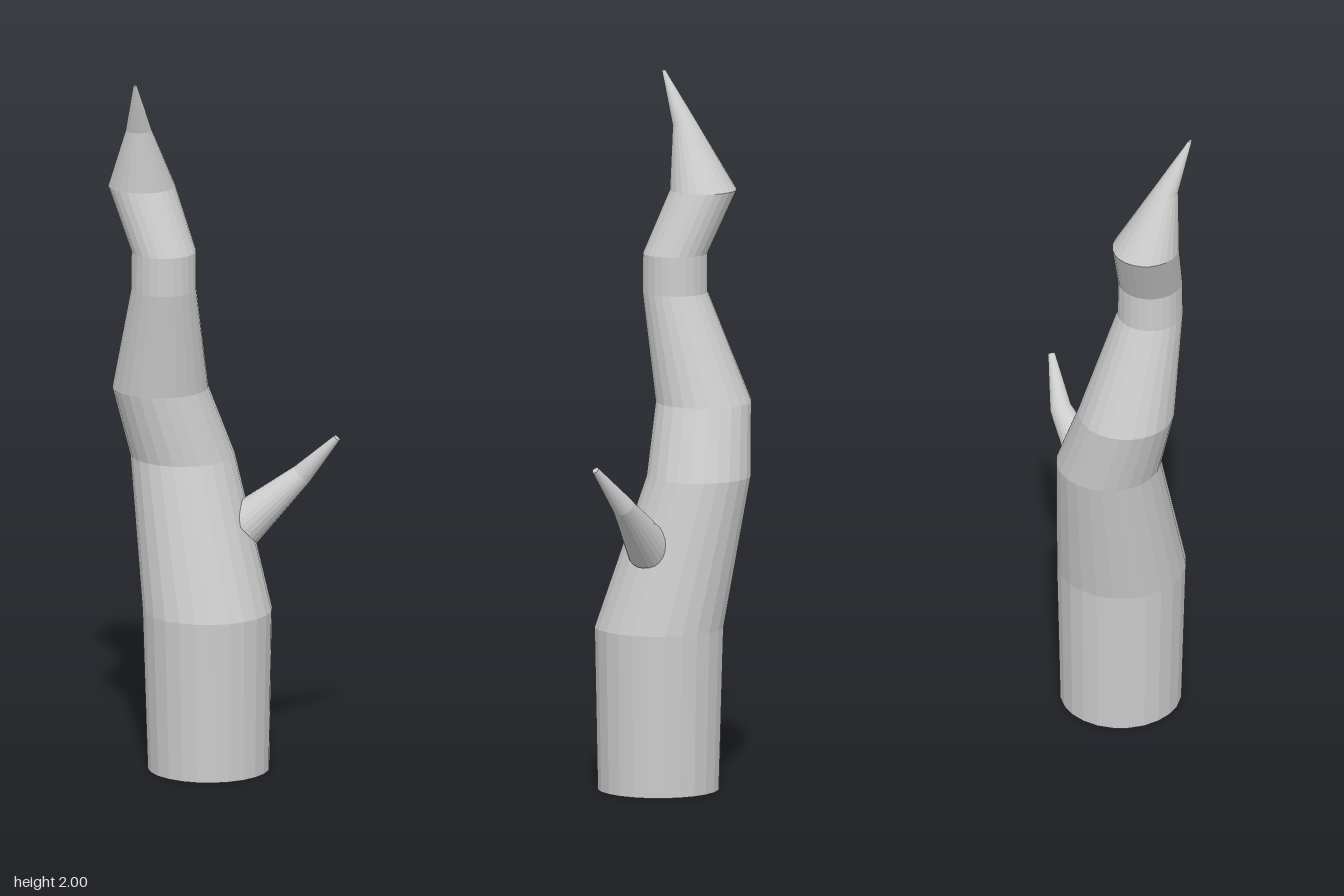
import * as THREE from 'three';

const SIDES = 24;

// Lofts a capped, faceted limb through circular rings [x, y, z, radius].
// normals: one axis direction per ring.
function limb(name, rings, normals, material) {
  const pos = [], idx = [];
  rings.forEach(([x, y, z, r], i) => {
    const q = new THREE.Quaternion().setFromUnitVectors(new THREE.Vector3(0, 1, 0), normals[i]);
    for (let s = 0; s < SIDES; s++) {
      const a = (s / SIDES) * Math.PI * 2;
      const p = new THREE.Vector3(Math.sin(a) * r, 0, Math.cos(a) * r).applyQuaternion(q);
      pos.push(p.x + x, p.y + y, p.z + z);
    }
  });
  for (let i = 0; i < rings.length - 1; i++) {
    for (let s = 0; s < SIDES; s++) {
      const a = i * SIDES + s, b = i * SIDES + (s + 1) % SIDES;
      idx.push(a, b, b + SIDES, a, b + SIDES, a + SIDES);
    }
  }
  // end caps
  const last = (rings.length - 1) * SIDES;
  for (let s = 1; s < SIDES - 1; s++) {
    idx.push(0, s + 1, s, last, last + s, last + s + 1);
  }
  const indexed = new THREE.BufferGeometry();
  indexed.setAttribute('position', new THREE.Float32BufferAttribute(pos, 3));
  indexed.setIndex(idx);
  const geometry = indexed.toNonIndexed();
  geometry.computeVertexNormals();
  const mesh = new THREE.Mesh(geometry, material);
  mesh.name = name;
  return mesh;
}

export function createModel() {
  const group = new THREE.Group();
  group.name = 'deadTree';
  const bark = new THREE.MeshStandardMaterial({ color: 0xcccccc });
  bark.name = 'pale grey bark';

  // crooked trunk, every ring level
  const trunk = [
    [-0.015, 0, 0, 0.171],
    [-0.017, 0.46, -0.003, 0.182],
    [0.005, 0.885, -0.113, 0.147],
    [-0.05, 1.085, -0.148, 0.135],
    [-0.109, 1.39, -0.085, 0.092],
    [-0.109, 1.5, -0.085, 0.091],
    [-0.107, 1.675, -0.168, 0.094],
    [-0.158, 1.85, -0.135, 0.037],
    [-0.223, 2, -0.093, 0.005],
  ];
  group.add(limb('trunk', trunk, trunk.map(() => new THREE.Vector3(0, 1, 0)), bark));

  // bent side branch, rings square to its path
  const branch = [
    [0.065, 0.695, 0.057, 0.064],
    [0.178, 0.84, 0.178, 0.031],
    [0.216, 0.955, 0.275, 0.01],
  ];
  const points = branch.map(([x, y, z]) => new THREE.Vector3(x, y, z));
  const axes = points.map((_, i) => points[Math.min(i + 1, 2)].clone()
    .sub(points[Math.max(i - 1, 0)]).normalize());
  group.add(limb('sideBranch', branch, axes, bark));

  return group;
}
